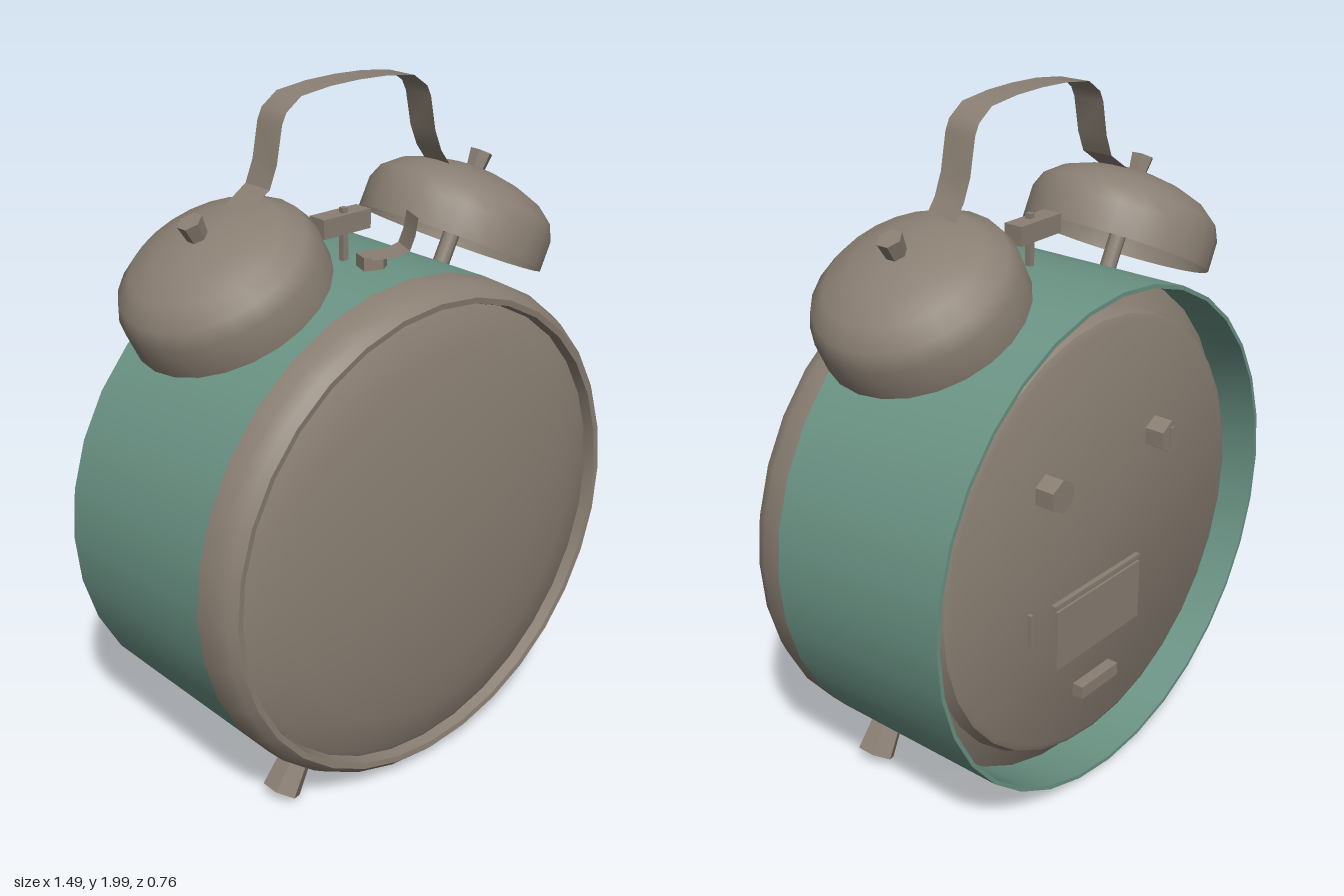
import * as THREE from 'three';
import { toCreasedNormals } from 'three/addons/utils/BufferGeometryUtils.js';

const taupe = new THREE.MeshStandardMaterial({ name: 'taupe metal', color: 0x8a7f73, side: THREE.DoubleSide });
const teal = new THREE.MeshStandardMaterial({ name: 'teal enamel', color: 0x6b9485, side: THREE.DoubleSide });

const CY = 0.757; // height of the case centre

export function createModel() {
  const clock = new THREE.Group();
  clock.name = 'alarmClock';

  const add = (name, geo, mat = taupe, parent = clock) => {
    const m = new THREE.Mesh(geo, mat);
    m.name = name;
    parent.add(m);
    return m;
  };
  const lathe = (pts, sides, crease = 0.6) =>
    toCreasedNormals(new THREE.LatheGeometry(pts.map(p => new THREE.Vector2(...p)), sides), crease);
  const box = (name, w, h, d, x, y, z) => {
    const m = add(name, new THREE.BoxGeometry(w, h, d));
    m.position.set(x, y, z);
    return m;
  };
  // Round parts of the case turn about the z axis: points are [radius, z]
  const turned = (name, pts, mat) => {
    const m = add(name, lathe(pts, 32).rotateX(Math.PI / 2), mat);
    m.position.y = CY;
    return m;
  };
  // Thin bent strip: path in x-y, width along z
  const strip = (name, path, z0, z1) => {
    const pos = [], idx = [];
    path.forEach(([x, y], i) => {
      pos.push(x, y, z0, x, y, z1);
      if (i) {
        const a = 2 * i - 2;
        idx.push(a, a + 1, a + 2, a + 1, a + 3, a + 2);
      }
    });
    const g = new THREE.BufferGeometry();
    g.setAttribute('position', new THREE.Float32BufferAttribute(pos, 3));
    g.setIndex(idx);
    g.computeVertexNormals();
    return add(name, toCreasedNormals(g, 0.5));
  };

  // Case
  turned('caseShell', [[0.733, -0.2], [0.733, -0.37], [0.745, -0.37], [0.745, 0.21]], teal);
  turned('bezel', [[0.745, 0.21], [0.742, 0.27], [0.725, 0.31], [0.705, 0.33], [0.688, 0.328], [0.678, 0.28]]);
  turned('faceLens', [[0.69, 0.29], [0.66, 0.307], [0.55, 0.334], [0.4, 0.357], [0.2, 0.373], [0, 0.378]]);
  turned('backPlate', [[0, -0.315], [0.63, -0.315], [0.65, -0.305], [0.665, -0.265], [0.735, -0.22]]);

  // Back fittings
  for (const s of [-1, 1]) {
    const knob = add('backKnob', toCreasedNormals(new THREE.CylinderGeometry(0.05, 0.05, 0.065, 6), 0.5));
    knob.rotation.x = Math.PI / 2;
    knob.position.set(0.25 * s, 1.0, -0.343);
  }
  box('knobGrip', 0.02, 0.06, 0.02, -0.25, 1.0, -0.37);
  box('batteryDoor', 0.39, 0.19, 0.009, 0.005, 0.505, -0.318);
  box('doorTopRidge', 0.4, 0.012, 0.02, 0.02, 0.625, -0.32);
  box('doorSideRidge', 0.01, 0.1, 0.02, 0.32, 0.6, -0.32);
  box('doorLatch', 0.17, 0.04, 0.04, 0.03, 0.3, -0.33);

  // Bells and feet, mirrored left and right
  const tilt = Math.atan2(0.46, 0.887);
  for (const s of [-1, 1]) {
    const bell = new THREE.Group();
    bell.name = s > 0 ? 'leftBell' : 'rightBell';
    bell.position.set(0.405 * s, 1.47, -0.043);
    bell.rotation.z = -tilt * s;
    clock.add(bell);
    add('bellDome', lathe([[0.285, 0], [0.284, 0.09], [0.265, 0.135], [0.215, 0.175], [0.14, 0.203], [0.07, 0.217], [0, 0.222]], 24, 1), taupe, bell);
    add('bellPost', new THREE.CylinderGeometry(0.025, 0.025, 0.37, 8), taupe, bell).position.y = 0.045;
    add('bellNut', toCreasedNormals(new THREE.CylinderGeometry(0.035, 0.028, 0.055, 6), 0.5), taupe, bell).position.y = 0.243;

    const dir = new THREE.Vector3(0.53 * s, -0.848, 0);
    const foot = add('foot', toCreasedNormals(new THREE.CylinderGeometry(0.058, 0.045, 0.15, 6), 0.5));
    foot.quaternion.setFromUnitVectors(new THREE.Vector3(0, 1, 0), dir);
    foot.position.set(0, CY, 0.17).addScaledVector(dir, 0.775);
  }

  // Carrying handle
  strip('handle', [[-0.46, 1.67], [-0.4, 1.7], [-0.31, 1.76], [-0.285, 1.82], [-0.265, 1.92], [-0.25, 1.95], [-0.2, 1.985], [-0.1, 1.997], [0, 2],
    [0.1, 1.997], [0.2, 1.985], [0.25, 1.95], [0.265, 1.92], [0.285, 1.82], [0.31, 1.76], [0.37, 1.68]], -0.092, 0.008);

  // Hammer between the bells
  box('hammerHead', 0.17, 0.055, 0.06, -0.025, 1.608, -0.042);
  box('hammerPost', 0.018, 0.17, 0.018, -0.02, 1.565, -0.035);

  // Stop lever in front of the hammer
  const leverBase = add('leverBase', toCreasedNormals(new THREE.CylinderGeometry(0.045, 0.045, 0.04, 5), 0.5));
  leverBase.position.set(0, 1.515, 0.06);
  const lever = strip('stopLever', [[-0.02, 1.535], [0.05, 1.535], [0.085, 1.55], [0.1, 1.59], [0.108, 1.64]], -0.045, 0.045);
  lever.position.z = 0.07;
  lever.rotation.y = -0.4;

  return clock;
}
